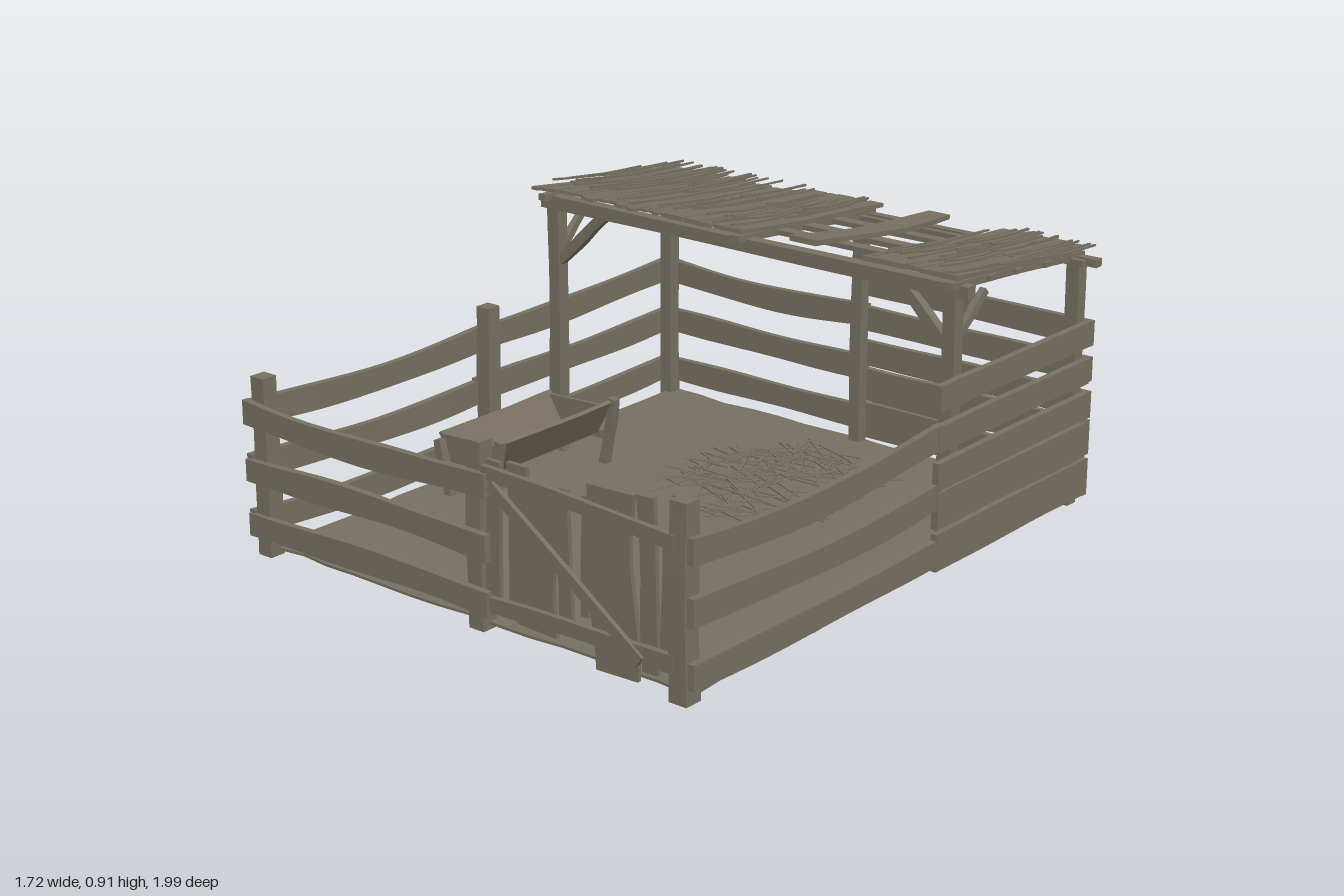
import * as THREE from 'three';

export function createModel() {
  const model = new THREE.Group();
  const wood = new THREE.MeshStandardMaterial({ color: 0x777062 });
  wood.name = 'weathered wood';
  const soil = new THREE.MeshStandardMaterial({ color: 0x757062, side: THREE.DoubleSide });
  soil.name = 'dry earth';

  // Small seeded generator for hand-hewn irregularity
  let seed = 7;
  const rnd = (a = 0, b = 1) => {
    seed = (seed * 16807) % 2147483647;
    return a + (b - a) * seed / 2147483647;
  };

  const part = (name, parent = model) => {
    const g = new THREE.Group();
    g.name = name;
    parent.add(g);
    return g;
  };

  // Rough timber from a to b: w sideways, h along "up", with sag, edge wobble and end taper
  function timber(parent, name, a, b, w, h, { sag = 0, wob = 0.05, taper = 1, up = [0, 1, 0], seg = 8 } = {}) {
    const A = new THREE.Vector3(...a), B = new THREE.Vector3(...b);
    const len = A.distanceTo(B);
    const geo = new THREE.BoxGeometry(w, h, len, 1, 1, seg);
    const p = geo.attributes.position;
    const p1 = rnd(0, 6), p2 = rnd(0, 6);
    for (let i = 0; i < p.count; i++) {
      const t = p.getZ(i) / len + 0.5;
      const s = (1 + wob * Math.sin(t * 9 + p1)) * (1 + (taper - 1) * t);
      p.setX(i, p.getX(i) * s + w * wob * Math.sin(t * 6 + p2));
      p.setY(i, p.getY(i) * s + h * wob * Math.sin(t * 5 + p1) - sag * Math.sin(Math.PI * t));
    }
    geo.computeVertexNormals();
    const m = new THREE.Mesh(geo, wood);
    m.name = name;
    m.up.set(...up);
    m.position.copy(A).add(B).multiplyScalar(0.5);
    m.lookAt(B);
    parent.add(m);
    return m;
  }

  // Earth floor with a ragged rim
  const rim = [];
  const X = 0.815, Z = 0.945, N = 14;
  const corners = [[-X, -Z], [X, -Z], [X, Z], [-X, Z]];
  corners.forEach(([x, z], k) => {
    const [nx, nz] = corners[(k + 1) % 4];
    for (let i = 0; i < N; i++) {
      const t = i / N, pull = 1 - (i ? rnd(0, 0.02) : 0);
      rim.push(new THREE.Vector2((x + (nx - x) * t) * pull, -(z + (nz - z) * t) * pull));
    }
  });
  const floor = new THREE.Mesh(
    new THREE.ExtrudeGeometry(new THREE.Shape(rim), { depth: 0.008, bevelEnabled: false }), soil);
  floor.name = 'earthFloor';
  floor.rotation.x = -Math.PI / 2;
  floor.position.y = 0.016;
  model.add(floor);

  // Posts: x, z, height, thickness
  const posts = part('posts');
  [
    [-0.805, 0.945, 0.56, 0.055], [0.05, 0.935, 0.56, 0.056], [0.79, 0.95, 0.57, 0.06], [-0.8, 0, 0.55, 0.055],
    [-0.81, -0.92, 0.78, 0.046], [-0.005, -0.92, 0.78, 0.042], [0.8, -0.92, 0.78, 0.046],
    [-0.78, -0.315, 0.82, 0.046], [0.755, -0.315, 0.82, 0.046],
  ].forEach(([x, z, h, w]) => timber(posts, 'post', [x, 0, z], [x, h, z], w, w, { taper: 0.95, wob: 0.03 }));

  // Three sagging rails per open fence run
  const fence = part('fence');
  [0.45, 0.275, 0.1].forEach((y, k) => {
    const sag = [0.03, 0.02, 0.015][k];
    timber(fence, 'frontRail', [-0.85, y, 0.98], [0.12, y - 0.005, 0.98], 0.022, 0.075, { sag: -0.01 * (k - 1), wob: 0.08, seg: 14 });
    timber(fence, 'leftRailFront', [-0.845, y, 0.98], [-0.835, y - 0.01, -0.02], 0.022, 0.078, { sag, seg: 14 });
    timber(fence, 'leftRailBack', [-0.835, y - 0.01, 0.03], [-0.85, y, -0.96], 0.022, 0.078, { sag: sag * 0.4, seg: 14 });
    timber(fence, 'rightRail', [0.845, y, 0.99], [0.835, y - 0.01, -0.15], 0.022, 0.078, { sag, seg: 14 });
    timber(fence, 'backRail', [-0.86, y, -0.95], [0.01, y, -0.95], 0.022, 0.078, { sag: sag * 0.5, seg: 14 });
  });

  // Wide boards closing the sheltered corner
  const boards = part('shelterBoards');
  [[0.09, 0.118], [0.217, 0.112], [0.325, 0.085], [0.44, 0.08], [0.56, 0.08]].forEach(([y, h]) => {
    timber(boards, 'sideBoard', [0.838, y, -0.13], [0.84, y, -0.94], 0.022, h, { wob: 0.015 });
    timber(boards, 'backBoard', [-0.02, y, -0.95], [0.85, y, -0.95], 0.022, h, { wob: 0.025 });
  });

  // Gate: uneven upright planks, two ledges and a diagonal brace
  const gate = part('gate');
  const flat = { up: [0, 0, 1] };
  [
    [0.12, 0.05, 0.08, 0.52], [0.275, 0.14, 0.06, 0.47], [0.215, 0.07, 0.07, 0.53], [0.385, 0.045, 0.08, 0.5],
    [0.56, 0.155, 0.01, 0.54], [0.455, 0.03, 0.15, 0.5], [0.685, 0.055, 0.05, 0.55], [0.735, 0.03, 0.07, 0.47],
  ].forEach(([x, w, y0, y1]) =>
    timber(gate, 'gatePlank', [x, y0, 0.955], [x + rnd(-0.02, 0.02), y1, 0.955], w, 0.014, { ...flat, wob: 0.05 }));
  timber(gate, 'topLedge', [0.1, 0.49, 0.972], [0.78, 0.455, 0.972], 0.018, 0.04);
  timber(gate, 'bottomLedge', [0.1, 0.1, 0.972], [0.78, 0.115, 0.972], 0.018, 0.045);
  timber(gate, 'gateBrace', [0.14, 0.46, 0.985], [0.67, 0.09, 0.985], 0.015, 0.035);

  // Lean-to frame
  const frame = part('roofFrame');
  const roofY = z => 0.812 + (z + 1) * 0.095;
  timber(frame, 'frontBeam', [-0.83, 0.83, -0.315], [0.82, 0.83, -0.315], 0.04, 0.042, { seg: 14 });
  timber(frame, 'backBeam', [-0.86, 0.785, -0.95], [0.86, 0.785, -0.95], 0.03, 0.024);
  timber(frame, 'backInnerBeam', [-0.85, 0.79, -0.9], [0.84, 0.79, -0.9], 0.02, 0.02);
  [-0.46, -0.6, -0.76].forEach(z =>
    timber(frame, 'batten', [-0.8, roofY(z) - 0.022, z], [0.8, roofY(z) - 0.022, z], 0.04, 0.016, { seg: 14 }));
  [-0.795, -0.005, 0.775].forEach(x =>
    timber(frame, 'rafter', [x, roofY(-0.26) - 0.028, -0.26], [x, roofY(-0.98) - 0.02, -0.98], 0.03, 0.022));
  [-1, 1].forEach(s => {
    timber(frame, 'kneeBrace', [s * 0.765, 0.64, -0.315], [s * 0.57, 0.82, -0.315], 0.03, 0.034);
    timber(frame, 'sideBrace', [s * 0.765, 0.69, -0.33], [s * 0.775, 0.8, -0.45], 0.022, 0.024);
  });

  // Roof covering: planks with splintered strips over them
  const roof = part('roofCovering');
  const strip = (name, x, w, z0, z1, lift, h) => timber(roof, name,
    [x, roofY(z0) + lift, z0], [x + rnd(-0.008, 0.008), roofY(z1) + lift, z1], w, h,
    { sag: 0.006, wob: 0.1, seg: 5, taper: rnd(0.75, 1) });
  for (let x = -0.81; x < -0.28; x += 0.029)
    strip('roofSlat', x, rnd(0.021, 0.029), rnd(-0.28, -0.24), rnd(-0.97, -0.92), 0, 0.01);
  for (let x = -0.225; x < 0.02; x += 0.055)
    strip('roofPlank', x, 0.056, rnd(-0.255, -0.245), rnd(-1, -0.985), 0.002, 0.014);
  for (let x = 0.505; x < 0.82; x += 0.046)
    strip('roofPlank', x, 0.05, rnd(-0.265, -0.25), rnd(-1, -0.985), 0.002, 0.014);
  strip('loosePlank', 0.245, 0.09, -0.28, -0.995, 0.008, 0.016);
  [[-0.82, -0.3, 45], [-0.3, 0.02, 30], [0.49, 0.82, 40]].forEach(([x0, x1, n]) => {
    for (let i = 0; i < n; i++) {
      const z = rnd(-0.7, -0.24);
      strip('roofSplinter', rnd(x0, x1), rnd(0.005, 0.011), z, Math.max(-0.99, z - rnd(0.2, 0.6)), rnd(0.01, 0.022), 0.007);
    }
  });

  // Feeding trough: sloping sides, floor, end plates and legs
  const trough = part('trough');
  const z0 = -0.22, z1 = 0.29;
  const slope = (name, xb, xt, yt) => {
    const side = timber(trough, name, [(xb + xt) / 2, (0.125 + yt) / 2, z0], [(xb + xt) / 2, (0.125 + yt) / 2, z1],
      0.014, Math.hypot(xt - xb, yt - 0.125), { wob: 0.02 });
    side.rotateZ(Math.atan2(xb - xt, yt - 0.125));
  };
  slope('troughOuterSide', -0.68, -0.74, 0.22);
  slope('troughInnerSide', -0.54, -0.475, 0.24);
  timber(trough, 'troughFloor', [-0.61, 0.125, z0], [-0.61, 0.125, z1], 0.15, 0.014, { wob: 0.01 });
  const endShape = new THREE.Shape([[-0.68, 0.12], [-0.54, 0.12], [-0.48, 0.225], [-0.735, 0.215]]
    .map(q => new THREE.Vector2(...q)));
  [z0, z1 - 0.014].forEach(z => {
    const end = new THREE.Mesh(new THREE.ExtrudeGeometry(endShape, { depth: 0.014, bevelEnabled: false }), wood);
    end.name = 'troughEnd';
    end.position.z = z;
    trough.add(end);
  });
  [z0 - 0.01, z1 + 0.01].forEach(z => {
    timber(trough, 'troughLeg', [-0.69, 0.015, z], [-0.73, 0.2, z], 0.028, 0.028);
    timber(trough, 'troughLeg', [-0.51, 0.015, z], [-0.47, 0.25, z], 0.028, 0.028);
    timber(trough, 'troughCrossbar', [-0.72, 0.12, z], [-0.49, 0.12, z], 0.014, 0.025);
  });

  // Straw scattered under the shelter
  const straw = part('straw');
  for (let i = 0; i < 190; i++) {
    const r = Math.sqrt(rnd()), a = rnd(0, 6.283), d = rnd(0, 3.142), l = rnd(0.04, 0.11);
    const x = 0.03 + r * 0.31 * Math.cos(a), z = -0.42 + r * 0.34 * Math.sin(a);
    const y = 0.029 + (1 - r) * rnd(0, 0.025);
    timber(straw, 'strawStalk', [x - l * Math.cos(d), y, z - l * Math.sin(d)],
      [x + l * Math.cos(d), y + rnd(-0.002, 0.012), z + l * Math.sin(d)], 0.008, 0.005, { seg: 1, taper: 0.5 });
  }

  return model;
}
